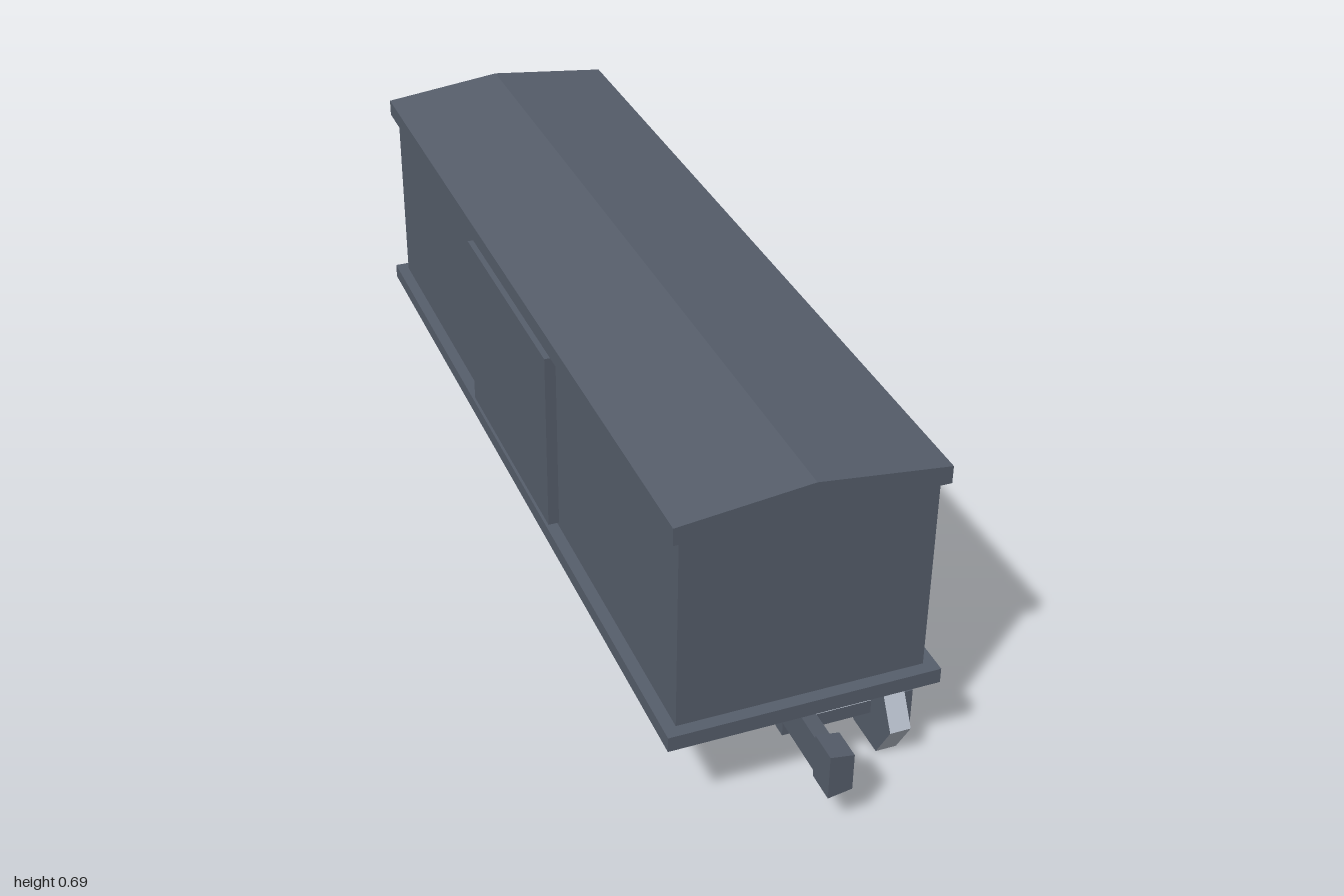
import * as THREE from 'three';

const slate = new THREE.MeshStandardMaterial({ color: 0x565e6b });
slate.name = 'slate';
const steel = new THREE.MeshStandardMaterial({ color: 0xb4bcc8 });
steel.name = 'steel';

function add(parent, name, geometry, material = slate) {
  const mesh = new THREE.Mesh(geometry, material);
  mesh.name = name;
  parent.add(mesh);
  return mesh;
}

// Box given by its lower and upper limits
function box(x0, x1, y0, y1, z0, z1) {
  return new THREE.BoxGeometry(x1 - x0, y1 - y0, z1 - z0)
    .translate((x0 + x1) / 2, (y0 + y1) / 2, (z0 + z1) / 2);
}

// Outline extruded from z0 to z1
function prism(points, z0, z1) {
  const shape = new THREE.Shape(points.map(([x, y]) => new THREE.Vector2(x, y)));
  return new THREE.ExtrudeGeometry(shape, { depth: z1 - z0, bevelEnabled: false })
    .translate(0, 0, z0);
}

// One truck, modelled around its own centre with the coupler towards +z
function createTruck() {
  const truck = new THREE.Group();
  const base = 0.1275;

  for (const z of [-base, base]) {
    // Six-sided wheel, flat on the rail, with bright tread
    const wheel = new THREE.CylinderGeometry(0.0953, 0.0953, 0.042, 6).toNonIndexed();
    wheel.rotateZ(Math.PI / 2);
    wheel.computeVertexNormals();
    add(truck, 'wheel', wheel, [steel, slate, slate]).position.set(0.201, 0.0825, z);
    // Axle with bright top and underside
    add(truck, 'axle', box(0, 0.181, 0.068, 0.098, z - 0.015, z + 0.015),
      [slate, slate, steel, steel, slate, slate]);
  }

  // Cross beam flaring out to the side frame
  add(truck, 'bolster', prism([
    [0, 0.065], [0.13, 0.065], [0.223, 0.019], [0.223, 0.147], [0.14, 0.194], [0, 0.194],
  ], -0.031, 0.031));

  // Side frame outside the wheels, outline in the side plane
  const frame = prism([
    [-0.168, 0.045], [-0.085, 0.045], [-0.045, 0.017], [0.045, 0.017], [0.085, 0.045], [0.168, 0.045],
    [0.168, 0.122], [0.085, 0.122], [0.045, 0.148], [-0.045, 0.148], [-0.085, 0.122], [-0.168, 0.122],
  ], 0.222, 0.251);
  frame.rotateY(Math.PI / 2);
  add(truck, 'sideFrame', frame);

  // Coupler shaft and head with tapered upper and lower faces
  add(truck, 'couplerShaft', prism(
    [[0, 0.098], [0.032, 0.103], [0.032, 0.167], [0, 0.173]], 0.02, 0.276));
  add(truck, 'couplerHead', prism(
    [[0, 0.085], [0.047, 0.093], [0.047, 0.172], [0, 0.18]], 0.275, 0.3375));
  return truck;
}

export function createModel() {
  const car = new THREE.Group();
  car.name = 'boxcar';

  // Body shell
  add(car, 'floor', box(-0.264, 0.264, 0.193, 0.224, -0.9, 0.9));
  add(car, 'body', box(-0.24, 0.24, 0.224, 0.626, -0.875, 0.875));
  add(car, 'roof', prism([
    [-0.255, 0.625], [0.255, 0.625], [0.255, 0.66], [0, 0.689], [-0.255, 0.66],
  ], -0.887, 0.887));

  // Sliding doors
  for (const side of [-1, 1]) {
    const door = add(car, side > 0 ? 'leftDoor' : 'rightDoor',
      box(-0.012, 0.012, 0.233, 0.616, -0.249, 0.249));
    door.position.x = side * 0.25;
  }

  // Trucks, the rear one mirrored front to back
  for (const end of [1, -1]) {
    const truck = createTruck();
    truck.name = end > 0 ? 'frontTruck' : 'rearTruck';
    truck.position.z = end * 0.6625;
    truck.scale.z = end;
    car.add(truck);
  }
  return car;
}
